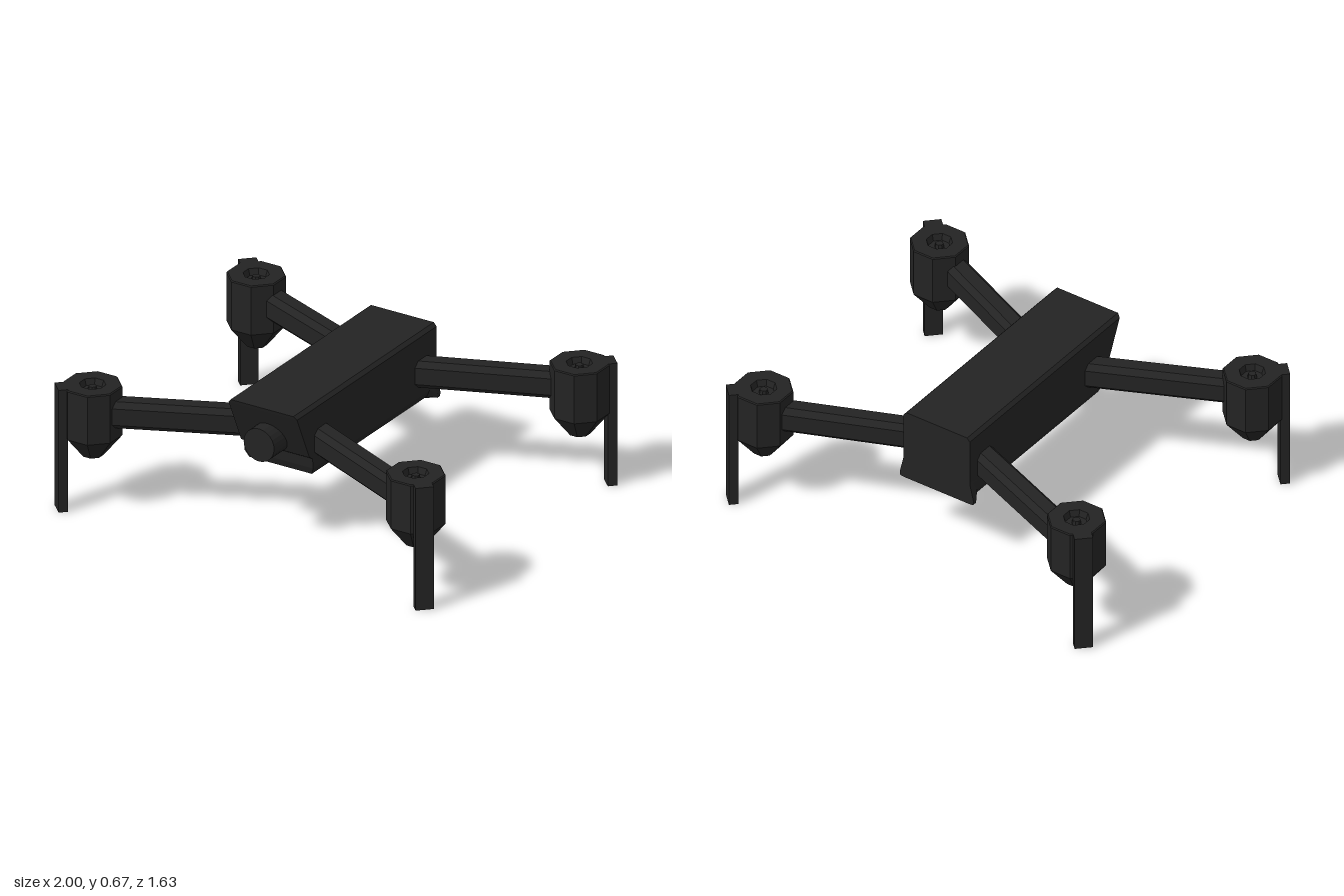
import * as THREE from 'three';

const shell = new THREE.MeshStandardMaterial({ color: 0x232323, flatShading: true });
shell.name = 'charcoalShell';

function addMesh(parent, name, geometry) {
  const mesh = new THREE.Mesh(geometry, shell);
  mesh.name = name;
  parent.add(mesh);
  return mesh;
}

// Skin a row of closed cross-sections (back to front) and cap both ends.
function loft(rings) {
  const pos = [];
  const tri = (...points) => points.forEach((p) => pos.push(...p));
  const n = rings[0].length;
  for (let i = 0; i < rings.length - 1; i++) {
    for (let k = 0; k < n; k++) {
      const j = (k + 1) % n;
      const a = rings[i][k], b = rings[i][j], c = rings[i + 1][j], d = rings[i + 1][k];
      tri(a, b, c);
      tri(a, c, d);
    }
  }
  const first = rings[0], last = rings[rings.length - 1];
  // End caps as horizontal strips between the mirrored halves
  for (let k = 0; k < n / 2 - 1; k++) {
    const m = n - 1 - k;
    tri(last[k], last[k + 1], last[m - 1]);
    tri(last[k], last[m - 1], last[m]);
    tri(first[k], first[m - 1], first[k + 1]);
    tri(first[k], first[m], first[m - 1]);
  }
  const geometry = new THREE.BufferGeometry();
  geometry.setAttribute('position', new THREE.Float32BufferAttribute(pos, 3));
  geometry.computeVertexNormals();
  return geometry;
}

// Half section, bottom to top: [x, y, z of the sloping nose]
const hull = [
  [0.14, 0.315, 0.43], [0.165, 0.33, 0.457], [0.18, 0.365, 0.47], [0.18, 0.415, 0.475],
  [0.18, 0.43, 0.5], [0.18, 0.655, 0.603], [0.165, 0.672, 0.61],
];
// The same section with the lower corners flared out at the tail
const tail = [
  [0.18, 0.315], [0.198, 0.318], [0.2, 0.338], [0.182, 0.415],
  [0.18, 0.43], [0.18, 0.655], [0.165, 0.672],
];

function ring(half, z) {
  const right = half.map((p) => [p[0], p[1], z ?? p[2]]);
  const left = right.map((p) => [-p[0], p[1], p[2]]).reverse();
  return [...right, ...left];
}

// Chamfered beam between two points at the same height
function beam(x1, z1, x2, z2, y, width, height) {
  const w = width / 2, h = height / 2, c = 0.025;
  const section = new THREE.Shape([
    [-w + c, -h], [w - c, -h], [w, -h + c], [w, h - c],
    [w - c, h], [-w + c, h], [-w, h - c], [-w, -h + c],
  ].map(([x, v]) => new THREE.Vector2(x, v)));
  const length = Math.hypot(x2 - x1, z2 - z1);
  const geometry = new THREE.ExtrudeGeometry(section, { depth: length, bevelEnabled: false });
  geometry.rotateY(Math.atan2(x2 - x1, z2 - z1));
  geometry.translate(x1, y, z1);
  return geometry;
}

export function createModel() {
  const model = new THREE.Group();
  model.name = 'foldingDrone';

  // Body with sloping nose and flared tail
  addMesh(model, 'body', loft([
    ring(tail, -0.547), ring(tail, -0.525), ring(hull, -0.49), ring(hull),
  ]));

  // Camera barrel in the nose
  const camera = addMesh(model, 'camera', new THREE.CylinderGeometry(0.08, 0.08, 0.2, 24));
  camera.rotation.x = Math.PI / 2;
  camera.position.set(0, 0.5, 0.535);

  // Octagonal motor pod: pointed underside, recessed top with a small shaft
  const podProfile = [
    [0, 0.255], [0.05, 0.255], [0.135, 0.36], [0.135, 0.595], [0.13, 0.6],
    [0.06, 0.6], [0.05, 0.57], [0.022, 0.57], [0.018, 0.59], [0, 0.59],
  ].map(([x, y]) => new THREE.Vector2(x, y));
  const pod = new THREE.LatheGeometry(podProfile, 8, Math.PI / 8);

  for (const sz of [1, -1]) {
    const end = sz > 0 ? 'front' : 'rear';
    const rootZ = sz > 0 ? 0.37 : -0.405;
    const tipZ = sz > 0 ? 0.7 : -0.7;
    for (const sx of [1, -1]) {
      const corner = new THREE.Group();
      corner.name = end + (sx > 0 ? 'Left' : 'Right') + 'Arm';
      model.add(corner);
      addMesh(corner, 'arm', beam(sx * 0.12, rootZ, sx * 0.81, tipZ - sz * 0.015, 0.481, 0.112, 0.13));
      addMesh(corner, 'motorPod', pod).position.set(sx * 0.85, 0, sz * 0.674);
      // Thin landing leg on the outer corner
      const leg = addMesh(corner, 'landingLeg', new THREE.BoxGeometry(0.083, 0.6, 0.044));
      leg.position.set(sx * 0.953, 0.3, sz * 0.77);
      leg.rotation.y = sx * sz * Math.PI / 4;
    }
  }
  return model;
}
